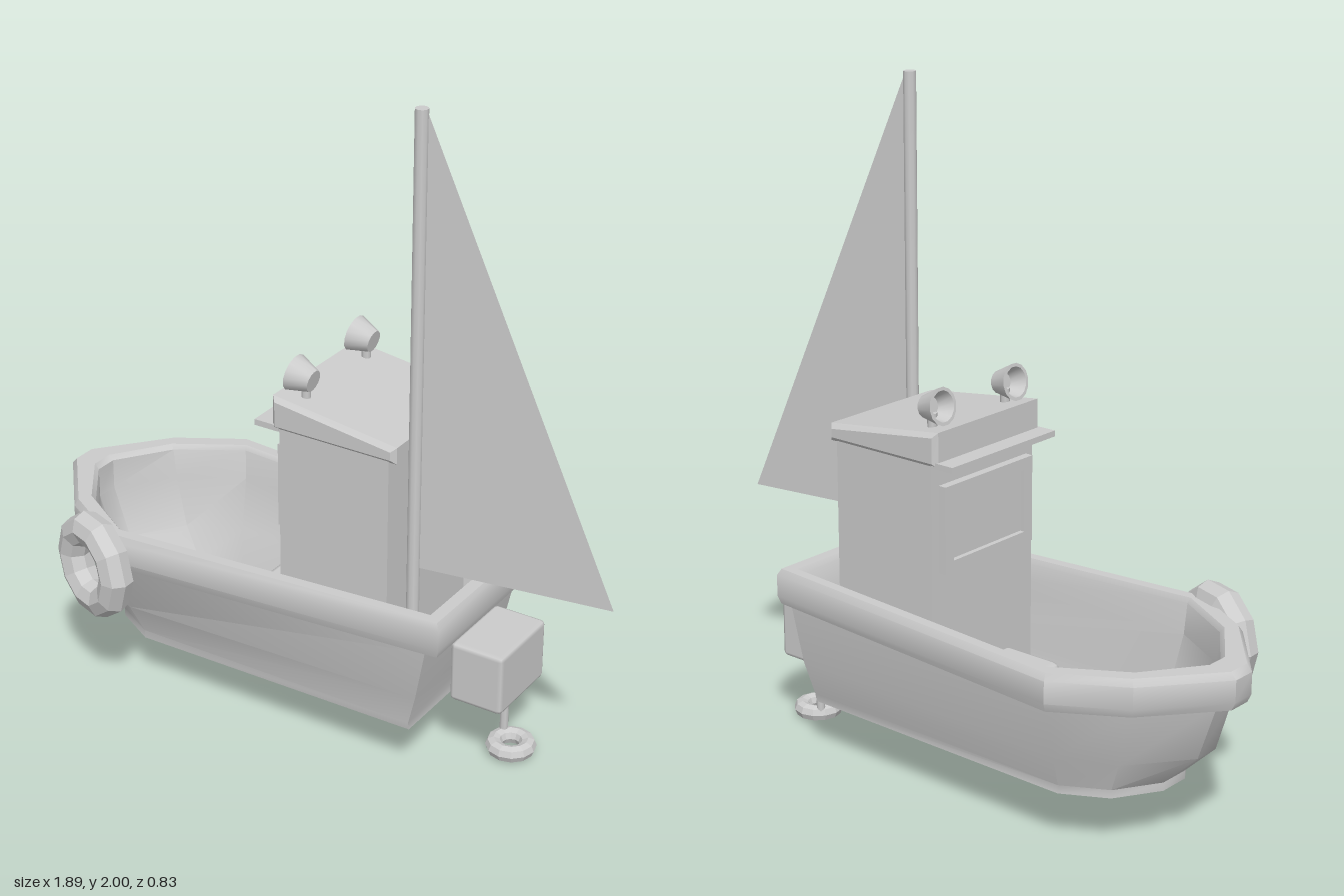
import * as THREE from 'three';
import { toCreasedNormals } from 'three/addons/utils/BufferGeometryUtils.js';
import { RoundedBoxGeometry } from 'three/addons/geometries/RoundedBoxGeometry.js';

const MID = -0.048; // z of the hull's centre line
const grey = new THREE.MeshStandardMaterial({ color: 0xcccccc });
const flat = new THREE.MeshStandardMaterial({ color: 0xcccccc, flatShading: true });
const thin = new THREE.MeshStandardMaterial({ color: 0xcccccc, side: THREE.DoubleSide });

export function createModel() {
  const boat = new THREE.Group();
  boat.name = 'boat';

  const add = (name, geometry, x = 0, y = 0, z = 0, material = grey, parent = boat) => {
    const mesh = new THREE.Mesh(geometry, material);
    mesh.name = name;
    mesh.position.set(x, y, z);
    parent.add(mesh);
    return mesh;
  };
  // Box given by its limits, optionally with chamfered edges
  const block = (name, [x0, x1], [y0, y1], [z0, z1], chamfer = 0) => {
    const size = [x1 - x0, y1 - y0, z1 - z0];
    const geo = chamfer ? new RoundedBoxGeometry(...size, 1, chamfer) : new THREE.BoxGeometry(...size);
    return add(name, geo, (x0 + x1) / 2, (y0 + y1) / 2, (z0 + z1) / 2);
  };

  // Hull and rim: y, then x and half width at the bow, cheek, shoulder and stern
  add('hull', loft([
    [0.165, -0.73, 0.05, -0.65, 0.18, -0.52, 0.25, 0.41, 0.235],
    [0.19, -0.73, 0.05, -0.65, 0.18, -0.52, 0.25, 0.41, 0.24],
    [0.29, -0.835, 0.042, -0.70, 0.215, -0.54, 0.295, 0.44, 0.255],
    [0.46, -0.89, 0.037, -0.74, 0.235, -0.555, 0.337, 0.475, 0.265],
    [0.46, -0.935, 0.037, -0.76, 0.245, -0.563, 0.363, 0.515, 0.268],
    [0.485, -0.947, 0.037, -0.77, 0.252, -0.566, 0.372, 0.523, 0.275],
    [0.55, -0.947, 0.037, -0.77, 0.252, -0.566, 0.372, 0.523, 0.275],
    [0.57, -0.93, 0.037, -0.76, 0.243, -0.562, 0.36, 0.512, 0.266],
    [0.57, -0.86, 0.036, -0.74, 0.205, -0.54, 0.325, 0.475, 0.238],
    [0.555, -0.845, 0.036, -0.73, 0.198, -0.535, 0.317, 0.465, 0.233],
    [0.46, -0.845, 0.036, -0.72, 0.198, -0.53, 0.31, 0.45, 0.23],
    [0.30, -0.79, 0.036, -0.68, 0.19, -0.515, 0.265, 0.415, 0.222],
    [0.20, -0.69, 0.04, -0.62, 0.172, -0.49, 0.23, 0.39, 0.215],
  ]));

  // Cabin, seat and visor
  block('cabin', [-0.04, 0.32], [0.2, 1.0], [-0.268, 0.17]);
  block('seat', [-0.245, -0.04], [0.2, 0.36], [-0.23, 0.062], 0.02);
  block('visor', [-0.12, -0.04], [0.99, 1.008], [-0.272, 0.176]);

  // Sloping roof with bevelled edges
  const roofShape = new THREE.Shape([[-0.05, 1.005], [0.33, 1.005], [0.33, 1.03], [-0.05, 1.08]]
    .map(p => new THREE.Vector2(...p)));
  add('roof', new THREE.ExtrudeGeometry(roofShape, {
    depth: 0.43, bevelSize: 0.014, bevelThickness: 0.014, bevelSegments: 1,
  }), 0, 0, -0.265);

  // Framed window on the bow side of the cabin
  const frame = rectangle(THREE.Shape, 0.19, 0.13);
  frame.holes.push(rectangle(THREE.Path, 0.155, 0.095));
  const windowFrame = add('windowFrame', new THREE.ExtrudeGeometry(frame, {
    depth: 0.025, bevelEnabled: false,
  }), -0.04, 0.8, MID);
  windowFrame.rotation.y = -Math.PI / 2;
  block('windowPane', [-0.05, -0.04], [0.7, 0.9], [MID - 0.16, MID + 0.16]);

  // Pair of roof lamps: open dish with a closed back, on a short stem
  const dish = [[0, -0.033], [0.033, -0.033], [0.055, 0.033], [0.045, 0.033], [0.028, -0.012], [0, -0.012]]
    .map(p => new THREE.Vector2(...p));
  for (const z of [-0.207, 0.108]) {
    const lamp = new THREE.Group();
    lamp.name = 'lamp';
    lamp.position.set(0.002, 1.145, z);
    boat.add(lamp);
    const shell = toCreasedNormals(new THREE.LatheGeometry(dish, 14), 0.6);
    add('lampShell', shell, 0, 0, 0, thin, lamp).rotation.z = Math.PI / 2 - 0.19;
    add('lampStem', new THREE.CylinderGeometry(0.014, 0.014, 0.07, 8), 0.008, -0.055, 0, grey, lamp);
  }

  // Mast and sail
  add('mast', new THREE.CylinderGeometry(0.019, 0.019, 1.8, 10), 0.368, 1.1, 0.108);
  const sail = new THREE.BufferGeometry().setFromPoints([
    new THREE.Vector3(0.38, 0.65, 0.105),
    new THREE.Vector3(0.948, 0.65, 0.018),
    new THREE.Vector3(0.38, 2, 0.105),
  ]);
  sail.computeVertexNormals();
  add('sail', sail, 0, 0, 0, thin);

  // Life ring hung on the side
  add('lifeRing', new THREE.TorusGeometry(0.115, 0.052, 8, 10), -0.604, 0.453, 0.32, flat).rotation.y = -0.35;

  // Outboard motor
  block('motor', [0.468, 0.638], [0.222, 0.412], [-0.195, 0.065], 0.014);
  add('motorShaft', new THREE.CylinderGeometry(0.013, 0.013, 0.21, 8), 0.552, 0.125, -0.122);
  add('propellerRing', new THREE.TorusGeometry(0.051, 0.025, 8, 12), 0.596, 0.027, -0.087, flat).rotation.x = Math.PI / 2;

  return boat;
}

// Rectangle outline from its half sizes
function rectangle(Type, w, h) {
  return new Type([[-w, -h], [w, -h], [w, h], [-w, h]].map(p => new THREE.Vector2(...p)));
}

// Skin mirrored eight-point rings, closing the first and last one
function loft(rows) {
  const points = [], faces = [], n = 8, last = (rows.length - 1) * n;
  for (const [y, bx, bz, cx, cz, sx, sz, tx, tz] of rows) {
    const half = [[tx, tz], [sx, sz], [cx, cz], [bx, bz]];
    for (const [x, z] of half) points.push(x, y, MID + z);
    for (const [x, z] of half.reverse()) points.push(x, y, MID - z);
  }
  for (let r = 0; r < last; r += n) {
    for (let i = 0; i < n; i++) {
      const a = r + i, b = r + (i + 1) % n;
      faces.push(a, a + n, b, b, a + n, b + n);
    }
  }
  for (let i = 1; i < n - 1; i++) {
    faces.push(0, i, i + 1, last, last + i + 1, last + i);
  }
  const geometry = new THREE.BufferGeometry();
  geometry.setAttribute('position', new THREE.Float32BufferAttribute(points, 3));
  geometry.setIndex(faces);
  return toCreasedNormals(geometry, 0.6);
}
